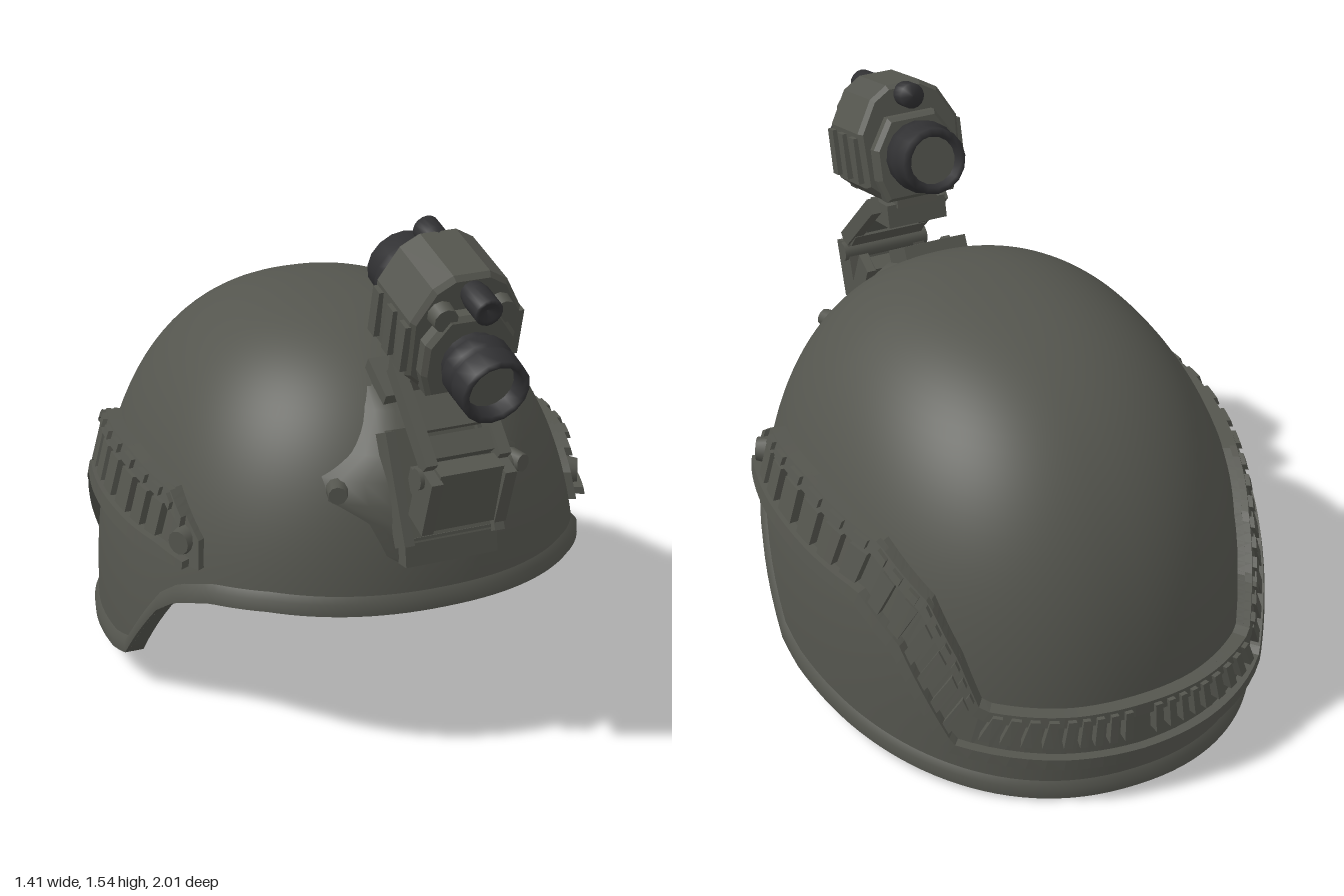
import * as THREE from 'three';
import { mergeVertices, mergeGeometries } from 'three/addons/utils/BufferGeometryUtils.js';

const olive = new THREE.MeshStandardMaterial({ color: 0x54554e });
olive.name = 'olive grey';
const black = new THREE.MeshStandardMaterial({ color: 0x303032 });
black.name = 'optic black';

const TOP = 1.155, N = 2.2, PI = Math.PI;
const lerp = THREE.MathUtils.lerp;

// Dome radius towards one side at height y
const bulge = (y, size, y0, top) => {
  const u = THREE.MathUtils.clamp((y - y0) / (top - y0), 0, 1);
  return size * Math.pow(1 - Math.pow(u, 2.4), 1 / 2.4);
};
const width = (y, top = TOP) => bulge(y, 0.685, 0.1, top);
const depth = (y, front, top = TOP) => front ? bulge(y, 0.72, 0.3, top) : bulge(y, 0.935, 0.1, top);
const spow = (v) => Math.sign(v) * Math.pow(Math.abs(v), 2 / N);

// Point on the dome: angle th from the front towards the left, height y, pushed out by off
function surf(th, y, off = 0, top = TOP) {
  const c = Math.cos(th), r = (v) => Math.max(0, v + off * Math.min(1, v * 4));
  return new THREE.Vector3(r(width(y, top)) * spow(Math.sin(th)), y, r(depth(y, c > 0, top)) * spow(c));
}
const angleAt = (z, y) =>
  Math.acos(Math.sign(z) * Math.pow(Math.min(1, Math.abs(z) / depth(y, z > 0)), N / 2));

// Height of the lower edge: brow, step behind the brow, ear flap, nape
const RIM = [[-1, 0.005], [-0.93, 0.005], [-0.4, 0.05], [-0.1, 0.08], [0, 0.11], [0.08, 0.2], [0.2, 0.335],
  [0.28, 0.39], [0.4, 0.43], [0.55, 0.447], [1, 0.45]];
function rim(th) {
  const z = surf(th, 0.3).z;
  const i = RIM.findIndex((p, k) => k > 0 && z <= p[0]);
  const [a, b] = [RIM[i - 1], RIM[i]];
  return lerp(a[1], b[1], (z - a[0]) / (b[0] - a[0]));
}

// Surface from a rule on an nu by nv grid
function grid(fn, nu, nv, flat = false) {
  const pos = [], idx = [];
  for (let j = 0; j <= nv; j++)
    for (let i = 0; i <= nu; i++) pos.push(...fn(i / nu, j / nv, i, j).toArray());
  for (let j = 0; j < nv; j++)
    for (let i = 0; i < nu; i++) {
      const a = j * (nu + 1) + i, c = a + nu + 1;
      idx.push(a, a + 1, c, a + 1, c + 1, c);
    }
  let g = new THREE.BufferGeometry();
  g.setAttribute('position', new THREE.Float32BufferAttribute(pos, 3));
  g.setIndex(idx);
  g = flat ? g.toNonIndexed() : mergeVertices(g, 1e-5);
  g.computeVertexNormals();
  return g;
}

// Side rail path, front to nape: upper z, upper y, lower z, lower y
const RAIL = [[0.34, 0.6, 0.36, 0.52], [0.2, 0.71, 0.2, 0.52], [-0.1, 0.725, -0.1, 0.51], [-0.44, 0.7, -0.41, 0.51],
  [-0.62, 0.6, -0.56, 0.42], [-0.72, 0.46, -0.65, 0.28], [-0.78, 0.32, -0.72, 0.16], [-0.9, 0.31, -0.9, 0.14],
  [-1, 0.31, -1, 0.13]].map(([a, b, c, d]) => [angleAt(a, b), b, angleAt(c, d), d]);

// t runs 0..1 on the left side and 1..2 back along the right; f runs from lower to upper edge
function railPoint(t, f, off) {
  const s = (t > 1 ? 2 - t : t) * (RAIL.length - 1);
  const i = Math.min(Math.floor(s), RAIL.length - 2);
  const k = RAIL[i].map((v, n) => lerp(v, RAIL[i + 1][n], s - i));
  const th = lerp(k[2], k[0], f);
  return surf(t > 1 ? 2 * PI - th : th, lerp(k[3], k[1], f), off);
}
function railStrip(t0, t1, f0, f1, off) {
  const n = Math.max(1, Math.ceil((t1 - t0) * 48)) + 2;
  return grid((u, v, i, j) => {
    const t = lerp(t0, t1, THREE.MathUtils.clamp((i - 1) / (n - 2), 0, 1));
    if (i === 0 || i === n) return railPoint(t, (f0 + f1) / 2, off / 2);
    const [f, o] = [[f0, -0.02], [f0, off], [f1, off], [f1, -0.02], [f0, -0.02]][j];
    return railPoint(t, f, o);
  }, n, 4, true);
}

export function createModel() {
  const model = new THREE.Group();
  const add = (name, geo, mat = olive, parent = model) => {
    const m = new THREE.Mesh(geo, mat);
    m.name = name;
    parent.add(m);
    return m;
  };
  const group = (name) => {
    const g = new THREE.Group();
    g.name = name;
    model.add(g);
    return g;
  };

  // Shell: outside, lower edge and lining
  const dome = (off, top, up) => grid((u, v) => {
    const th = u * 2 * PI, low = rim(th);
    return surf(th, low + (top - low) * Math.cos((up ? 1 - v : v) * PI / 2), off, top);
  }, 128, 32);
  add('shell', dome(0, TOP, true));
  add('lining', dome(-0.045, TOP - 0.045, false));
  add('lowerEdge', grid((u, v) => surf(u * 2 * PI, rim(u * 2 * PI), lerp(-0.046, 0.012, v)), 128, 1));
  add('edgeTrim', grid((u, v, i, j) => {
    const th = u * 2 * PI, [dy, off] = [[0, 0.012], [0.035, 0.014], [0.06, -0.005]][j];
    return surf(th, rim(th) + dy, off);
  }, 128, 2));

  // Rail around the sides and nape, with blocks and ribs
  const rails = group('rail');
  add('railBase', railStrip(0, 2, 0, 1, 0.022), olive, rails);
  add('railUpperLip', railStrip(0.06, 1.94, 0.8, 1, 0.042), olive, rails);
  add('railLowerLip', railStrip(0.03, 1.97, 0, 0.2, 0.05), olive, rails);
  const blocks = [];
  const block = (t0, t1, f0, f1, off) =>
    blocks.push(railStrip(t0, t1, f0, f1, off), railStrip(2 - t1, 2 - t0, f0, f1, off));
  for (let i = 0; i < 6; i++) block(0.13 + i * 0.042, 0.157 + i * 0.042, 0.26, 0.76, 0.045);
  for (let i = 0; i < 6; i++) block(0.405 + i * 0.058, 0.435 + i * 0.058, 0.22, 0.78, 0.045);
  for (let i = 0; i < 9; i++) block(0.77 + i * 0.025, 0.783 + i * 0.025, 0.45, 0.95, 0.055);
  for (let i = 0; i < 16; i++) block(0.1 + i * 0.04, 0.122 + i * 0.04, 0.85, 0.97, 0.055);
  add('railBlocks', mergeGeometries(blocks), olive, rails);
  for (const s of [1, -1]) {
    const p = railPoint(0.055, 0.5, 0.02);
    const bolt = add('railBolt', new THREE.CylinderGeometry(0.035, 0.045, 0.05, 12), olive, rails);
    bolt.position.set(p.x * s, p.y, p.z);
    bolt.quaternion.setFromUnitVectors(new THREE.Vector3(0, 1, 0), new THREE.Vector3(s * 0.87, 0, 0.5).normalize());
  }

  // Front shroud, moulded to the dome
  const mount = group('frontMount');
  const frontZ = (x, y) => depth(y, true) * Math.pow(1 - Math.pow(Math.min(1, Math.abs(x) / width(y)), N), 1 / N);
  const rows = [[0.57, 0.13], [0.61, 0.17], [0.7, 0.21], [0.76, 0.31], [0.82, 0.315], [0.88, 0.22], [0.98, 0.15], [1.05, 0.11]];
  add('shroud', grid((u, v, i, j) => {
    const [y, h] = rows[j], x = (u * 2 - 1) * h;
    const edge = Math.min(i, 12 - i, j * 2, (7 - j) * 2);
    return new THREE.Vector3(x, y, frontZ(x, y) + [-0.01, 0.025, 0.04, 0.055][Math.min(3, edge)]);
  }, 12, 7), olive, mount);
  for (const s of [1, -1]) {
    const bolt = add('shroudBolt', new THREE.CylinderGeometry(0.026, 0.034, 0.05, 10).rotateX(PI / 2), olive, mount);
    bolt.position.set(s * 0.275, 0.79, frontZ(0.275, 0.79) + 0.025);
    bolt.rotation.y = s * 0.4;
  }

  // Bars given by their ends in z and y
  const bar = (name, z0, y0, z1, y1, thick, wide, x = 0) => {
    const m = add(name, new THREE.BoxGeometry(wide, thick, Math.hypot(z1 - z0, y1 - y0)), olive, mount);
    m.position.set(x, (y0 + y1) / 2, (z0 + z1) / 2);
    m.rotation.x = -Math.atan2(y1 - y0, z1 - z0);
  };
  bar('mountPlate', 0.725, 0.66, 0.6, 0.95, 0.05, 0.25);
  bar('shroudFoot', 0.73, 0.6, 0.72, 0.68, 0.05, 0.28);
  bar('crownClip', 0.52, 1.0, 0.4, 1.07, 0.05, 0.2);
  bar('hingeBlock', 0.84, 0.92, 0.79, 0.74, 0.06, 0.19);
  bar('hingeLink', 0.8, 0.8, 0.68, 0.84, 0.07, 0.2);
  bar('armCrossbar', 0.8, 0.93, 0.76, 0.98, 0.04, 0.24);
  bar('armWeb', 0.74, 0.99, 0.62, 1.12, 0.02, 0.18);
  bar('goggleClip', 0.67, 1.1, 0.54, 1.13, 0.07, 0.19);
  bar('goggleFoot', 0.66, 1.15, 0.54, 1.18, 0.05, 0.13);
  for (const x of [-0.11, 0.11]) {
    bar('arm', 0.83, 0.92, 0.61, 1.14, 0.05, 0.035, x);
    bar('hingeCheek', 0.84, 0.91, 0.78, 0.74, 0.09, 0.035, x);
    bar('plateEdge', 0.74, 0.66, 0.61, 0.95, 0.07, 0.03, x * 1.25);
  }
  const pin = add('hingePin', new THREE.CylinderGeometry(0.03, 0.03, 0.28, 10).rotateZ(PI / 2), olive, mount);
  pin.position.set(0, 0.89, 0.81);

  // Night goggle, tilted down towards the front
  const goggle = group('goggle');
  goggle.position.set(0, 1.265, 0.69);
  goggle.rotation.x = 0.26;
  const extrude = (pts, z0, z1) => new THREE.ExtrudeGeometry(
    new THREE.Shape(pts.map(([x, y]) => new THREE.Vector2(x, y))),
    { depth: z1 - z0 - 0.03, bevelSize: 0.012, bevelThickness: 0.015, bevelSegments: 1 }).translate(0, 0, z0 + 0.015);
  const mirror = (half) => [...half, ...half.map(([x, y]) => [-x, y]).reverse()];
  add('body', extrude(mirror([[0.1, -0.1], [0.145, -0.06], [0.15, 0.1], [0.1, 0.19], [0.05, 0.22]]), -0.13, 0.11), olive, goggle);
  add('frontCollar', extrude(mirror([[0.1, -0.1], [0.12, -0.04], [0.12, 0.05], [0.07, 0.12]]), 0.08, 0.155), olive, goggle);
  add('rearCollar', extrude(mirror([[0.1, -0.1], [0.12, -0.04], [0.12, 0.05], [0.07, 0.13]]), -0.17, -0.1), olive, goggle);
  for (const s of [1, -1])
    for (const z of [-0.09, 0, 0.08]) {
      const rib = add('bodyRib', new THREE.BoxGeometry(0.02, 0.14, 0.04), olive, goggle);
      rib.position.set(s * 0.165, 0.02, z);
    }

  // Lens tubes with recessed glass
  const tube = (name, pts, y, back = false) => {
    const g = new THREE.LatheGeometry(pts.map(([r, z]) => new THREE.Vector2(r, z)), 16).rotateX(PI / 2);
    if (back) g.rotateY(PI);
    add(name, g, black, goggle).position.y = y;
  };
  tube('frontTube', [[0.085, 0.13], [0.085, 0.18], [0.1, 0.19], [0.1, 0.23], [0.09, 0.235], [0.1, 0.25], [0.098, 0.315],
    [0.078, 0.315], [0.07, 0.27]], 0);
  tube('eyepiece', [[0.09, 0.14], [0.09, 0.17], [0.105, 0.18], [0.11, 0.23], [0.098, 0.24], [0.1, 0.3], [0.08, 0.31],
    [0.07, 0.28]], 0.02, true);
  tube('smallLens', [[0.03, 0.09], [0.04, 0.14], [0.04, 0.215], [0.028, 0.215], [0, 0.2]], 0.185);
  tube('rearKnob', [[0.03, 0.1], [0.038, 0.13], [0.038, 0.185], [0, 0.19]], 0.2, true);
  add('frontGlass', new THREE.CircleGeometry(0.074, 16), olive, goggle).position.z = 0.275;
  const rear = add('rearGlass', new THREE.CircleGeometry(0.074, 16).rotateY(PI), olive, goggle);
  rear.position.set(0, 0.02, -0.285);
  for (const s of [1, -1]) {
    const knob = add('sideKnob', new THREE.CylinderGeometry(0.035, 0.04, 0.06, 10).rotateX(PI / 2), olive, goggle);
    knob.position.set(s * 0.085, 0.13, 0.12);
  }
  return model;
}
